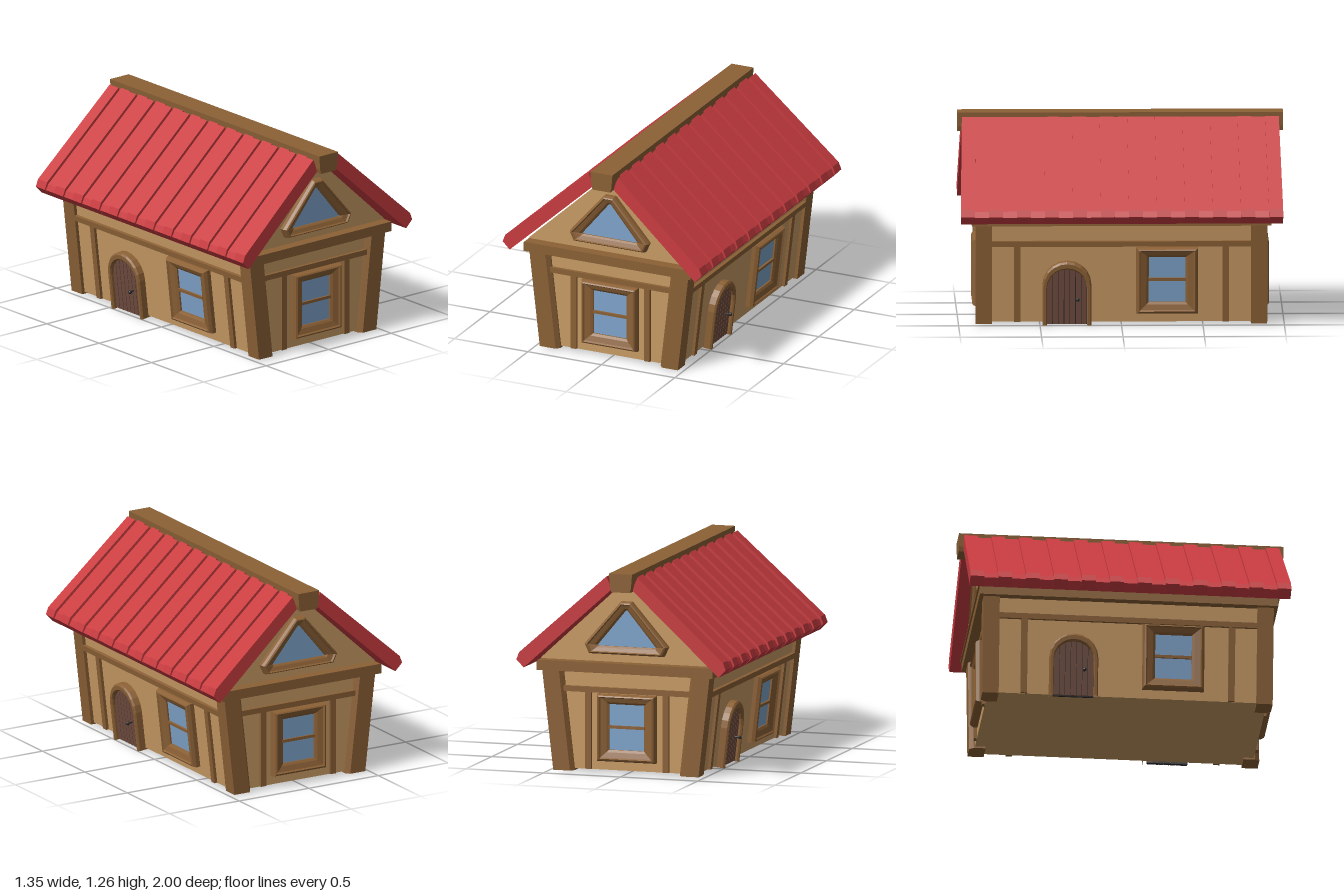
import * as THREE from 'three';

const mat = (color) => new THREE.MeshStandardMaterial({ color, flatShading: true });
const WALL = mat(0xc89b64), WOOD = mat(0x8c6136), RED = mat(0xc93c40);
const GLASS = mat(0x7fa4cb), DOOR = mat(0x6f4c3f), IRON = mat(0x2b2b2e);
const LEAN = 0.115; // outward slope of the side walls

function add(parent, name, geo, material, x = 0, y = 0, z = 0) {
  const m = new THREE.Mesh(geo, material);
  m.name = name;
  m.position.set(x, y, z);
  parent.add(m);
  return m;
}
const box = (w, h, d) => new THREE.BoxGeometry(w, h, d);
const poly = (pts) => new THREE.Shape(pts.map(([x, y]) => new THREE.Vector2(x, y)));
const extrude = (pts, depth) => new THREE.ExtrudeGeometry(poly(pts), { depth, bevelEnabled: false });

// Moulded frame: sweeps [blend outer->inner, height] steps between two outlines
function frame(outer, inner, steps, closed = true) {
  const n = outer.length, pos = [];
  const at = ([t, z], i) => {
    const o = outer[i % n], q = inner[i % n];
    return [o[0] + (q[0] - o[0]) * t, o[1] + (q[1] - o[1]) * t, z];
  };
  for (let s = 0; s < steps.length - 1; s++) {
    for (let i = 0; i < (closed ? n : n - 1); i++) {
      const a = at(steps[s], i), b = at(steps[s], i + 1);
      const c = at(steps[s + 1], i + 1), d = at(steps[s + 1], i);
      pos.push(...a, ...b, ...c, ...a, ...c, ...d);
    }
  }
  const g = new THREE.BufferGeometry();
  g.setAttribute('position', new THREE.Float32BufferAttribute(pos, 3));
  g.computeVertexNormals();
  return g;
}
const MOULD = [[0, -0.03], [0, 0.025], [0.12, 0.045], [0.25, 0.05], [0.35, 0.04], [0.8, 0.03], [1, 0.02], [1, 0]];
const rect = (w, y0, y1) => [[-w, y0], [w, y0], [w, y1], [-w, y1]];

function sashWindow(parent, x) {
  const g = new THREE.Group();
  g.name = 'window';
  g.position.x = x;
  parent.add(g);
  add(g, 'windowFrame', frame(rect(0.19, 0.068, 0.485), rect(0.113, 0.14, 0.425), MOULD), WOOD);
  add(g, 'windowGlass', box(0.24, 0.3, 0.02), GLASS, 0, 0.2825, 0);
  add(g, 'windowBar', box(0.23, 0.018, 0.03), WOOD, 0, 0.2825, 0.008);
}

function arch(r, spring, n = 10) {
  const pts = [[r, 0]];
  for (let i = 0; i <= n; i++) {
    const a = (Math.PI * i) / n;
    pts.push([r * Math.cos(a), spring + r * Math.sin(a)]);
  }
  pts.push([-r, 0]);
  return pts;
}

function archedDoor(parent, x) {
  const g = new THREE.Group();
  g.name = 'door';
  g.position.x = x;
  parent.add(g);
  const steps = [[0, -0.03], [0, 0.04], [0.25, 0.05], [0.8, 0.05], [1, 0.04], [1, 0]];
  add(g, 'doorFrame', frame(arch(0.15, 0.25), arch(0.123, 0.23), steps, false), WOOD);
  add(g, 'doorBacking', extrude(arch(0.125, 0.23), 0.015), IRON);
  // Vertical planks cut to the arch
  const n = 7, r = 0.123, w = (2 * r) / n;
  const top = (u) => 0.23 + Math.sqrt(Math.max(0, r * r - u * u));
  for (let i = 0; i < n; i++) {
    const a = -r + i * w + 0.002, b = a + w - 0.004, m = (a + b) / 2;
    add(g, 'doorPlank', extrude([[a, 0.005], [b, 0.005], [b, top(b)], [m, top(m)], [a, top(a)]], 0.027), DOOR);
  }
  const stem = add(g, 'doorKnobStem', new THREE.CylinderGeometry(0.005, 0.005, 0.03, 8), IRON, 0.065, 0.165, 0.04);
  stem.rotation.x = Math.PI / 2;
  add(g, 'doorKnob', new THREE.SphereGeometry(0.012, 8, 6), IRON, 0.065, 0.165, 0.058);
}

// Timber strips on a wall: a rail and two uprights
function timbers(parent, railHalf, postX) {
  add(parent, 'rail', box(railHalf * 2, 0.034, 0.04), WOOD, 0, 0.508, 0);
  for (const s of [-1, 1]) add(parent, 'upright', box(0.04, 0.478, 0.034), WOOD, s * postX, 0.253, 0);
}

function cornerPost() {
  const g = extrude([[0.47, -0.895], [0.47, -0.795], [0.34, -0.795], [0.34, -0.868], [0.362, -0.895]].reverse(), 0.62);
  g.rotateX(-Math.PI / 2);
  const p = g.attributes.position;
  for (let i = 0; i < p.count; i++) p.setX(i, p.getX(i) + LEAN * p.getY(i));
  g.computeVertexNormals();
  return g;
}

// One roof slope of alternating high and low planks
function roofSlope(parent) {
  const under = [[0.63, 0.642], [0.07, 1.15]];
  const high = [[0.085, 1.2], [0.1, 1.232], [0.66, 0.735], [0.677, 0.69], ...under].reverse();
  const low = [[0.07, 1.215], [0.08, 1.228], [0.65, 0.722], [0.668, 0.686], ...under].reverse();
  const n = 23, w = 1.98 / n;
  for (let i = 0; i < n; i++) {
    const g = extrude(i % 2 ? low : high, w);
    g.translate(0, 0, -0.99 + i * w);
    // slope narrows slightly towards the ridge
    const p = g.attributes.position;
    for (let k = 0; k < p.count; k++) p.setZ(k, p.getZ(k) * (1 - 0.03 * (0.677 - p.getX(k))));
    g.computeVertexNormals();
    add(parent, 'roofPlank', g, RED);
  }
}

function half() {
  const h = new THREE.Group();
  h.name = 'houseHalf';

  // Gable end wall
  const front = new THREE.Group();
  front.name = 'endWall';
  front.position.z = 0.86;
  h.add(front);
  timbers(front, 0.41, 0.25);
  sashWindow(front, 0);
  const outer = [[-0.242, 0.735], [0.242, 0.735], [0.27, 0.795], [0.035, 1.065], [-0.035, 1.065], [-0.27, 0.795]];
  const inner = [[-0.18, 0.785], [0.18, 0.785], [0.188, 0.79], [0.006, 1.01], [-0.006, 1.01], [-0.188, 0.79]];
  add(front, 'gableWindowFrame', frame(outer, inner, MOULD), WOOD);
  add(front, 'gableWindowGlass', extrude([[-0.195, 0.782], [0.195, 0.782], [0, 1.018]], 0.012), GLASS);

  // Leaning long wall
  const side = new THREE.Group();
  side.name = 'sideWall';
  side.position.x = 0.45;
  side.rotation.set(Math.atan(LEAN), Math.PI / 2, 0, 'YXZ');
  h.add(side);
  timbers(side, 0.8, 0.64);
  sashWindow(side, 0.28);
  archedDoor(side, -0.335);

  for (const s of [-1, 1]) add(h, 'cornerPost', cornerPost(), WOOD).scale.x = s;
  roofSlope(h);
  return h;
}

export function createModel() {
  const house = new THREE.Group();
  house.name = 'house';

  // Body with flared walls and gables
  const right = [[0.45, 0.012], [0.52, 0.62], [0.56, 0.69], [0.06, 1.15]];
  const left = right.map(([x, y]) => [-x, y]).reverse();
  add(house, 'walls', extrude([...right, ...left], 1.72), WALL, 0, 0, -0.86);

  // Beam around the wall tops, with a thin cap
  add(house, 'eavesBeam', box(1.14, 0.055, 1.84), WOOD, 0, 0.6475, 0);
  add(house, 'eavesCap', box(1.12, 0.01, 1.86), WOOD, 0, 0.68, 0);

  // Ridge beam, a little wider on top
  const ridge = [[-0.06, 1.14], [0.06, 1.14], [0.068, 1.17], [0.075, 1.255], [-0.075, 1.255], [-0.068, 1.17]];
  add(house, 'ridgeBeam', extrude(ridge, 2), WOOD, 0, 0, -1);

  // The two halves match by a half turn
  for (const turn of [0, Math.PI]) {
    const h = half();
    h.rotation.y = turn;
    house.add(h);
  }
  return house;
}
